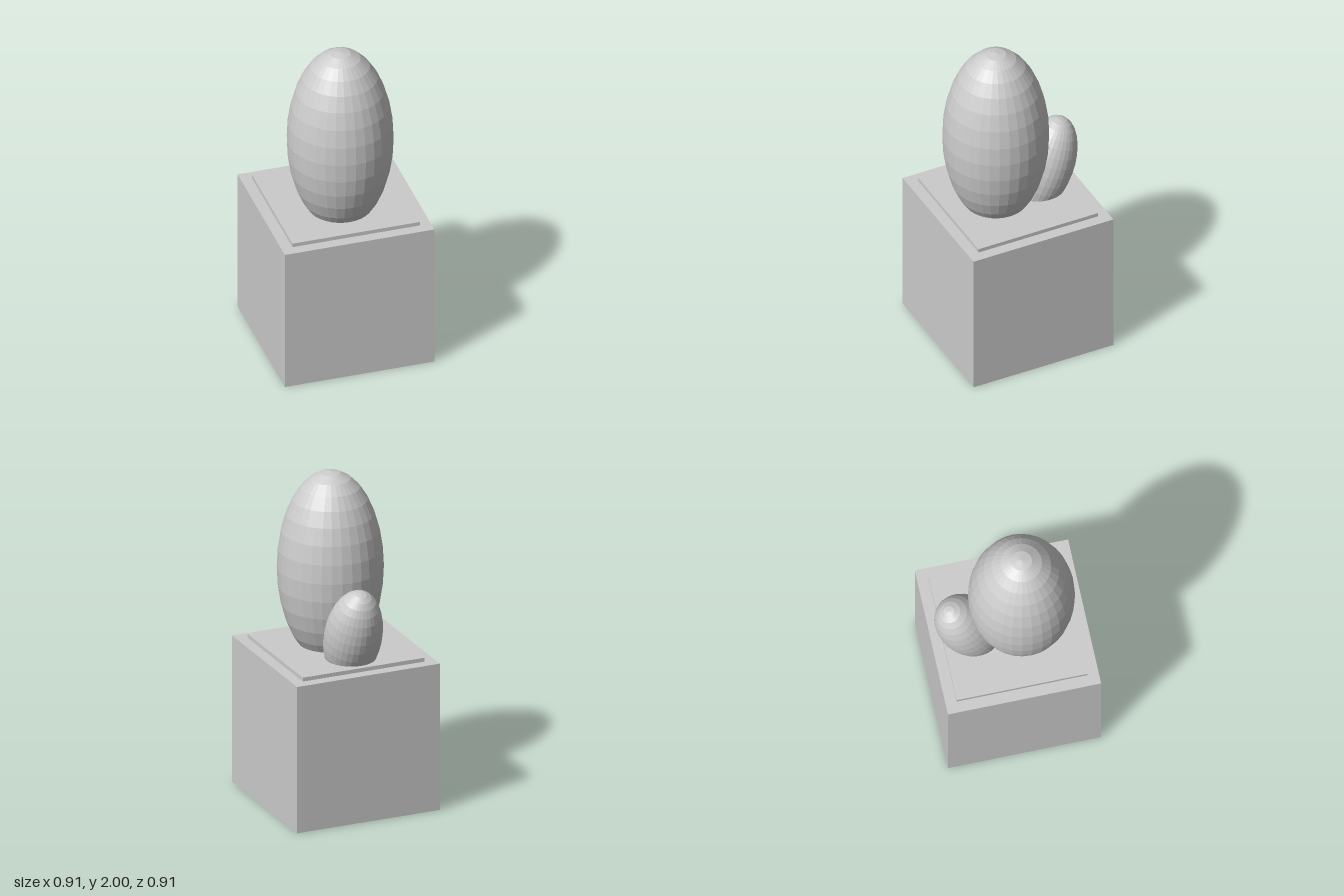
import * as THREE from 'three';

const SIZE = 0.912;      // pedestal cube edge
const STRETCH = 1.9;     // height to width ratio of both ellipsoids

export function createModel() {
  const group = new THREE.Group();
  const material = new THREE.MeshStandardMaterial({ color: 0xcccccc, flatShading: true });

  const add = (name, geometry, x, y, z) => {
    const mesh = new THREE.Mesh(geometry, material);
    mesh.name = name;
    mesh.position.set(x, y, z);
    group.add(mesh);
    return mesh;
  };
  const ellipsoid = (radius) =>
    new THREE.SphereGeometry(radius, 32, 16).scale(1, STRETCH, 1);

  // Cube pedestal with a thin inset plate on top
  add('pedestal', new THREE.BoxGeometry(SIZE, SIZE, SIZE), 0, SIZE / 2, 0);
  add('topPlate', new THREE.BoxGeometry(0.778, 0.044, 0.778), 0, 0.914, 0);

  // Tall upright body, partly sunk into the plate
  add('body', ellipsoid(0.312), 0, 2 - 0.312 * STRETCH, 0.08);

  // Smaller lobe behind, leaning backwards
  const lobe = add('rearLobe', ellipsoid(0.17), 0, 1.083, -0.24);
  lobe.rotation.x = -0.365;

  return group;
}
